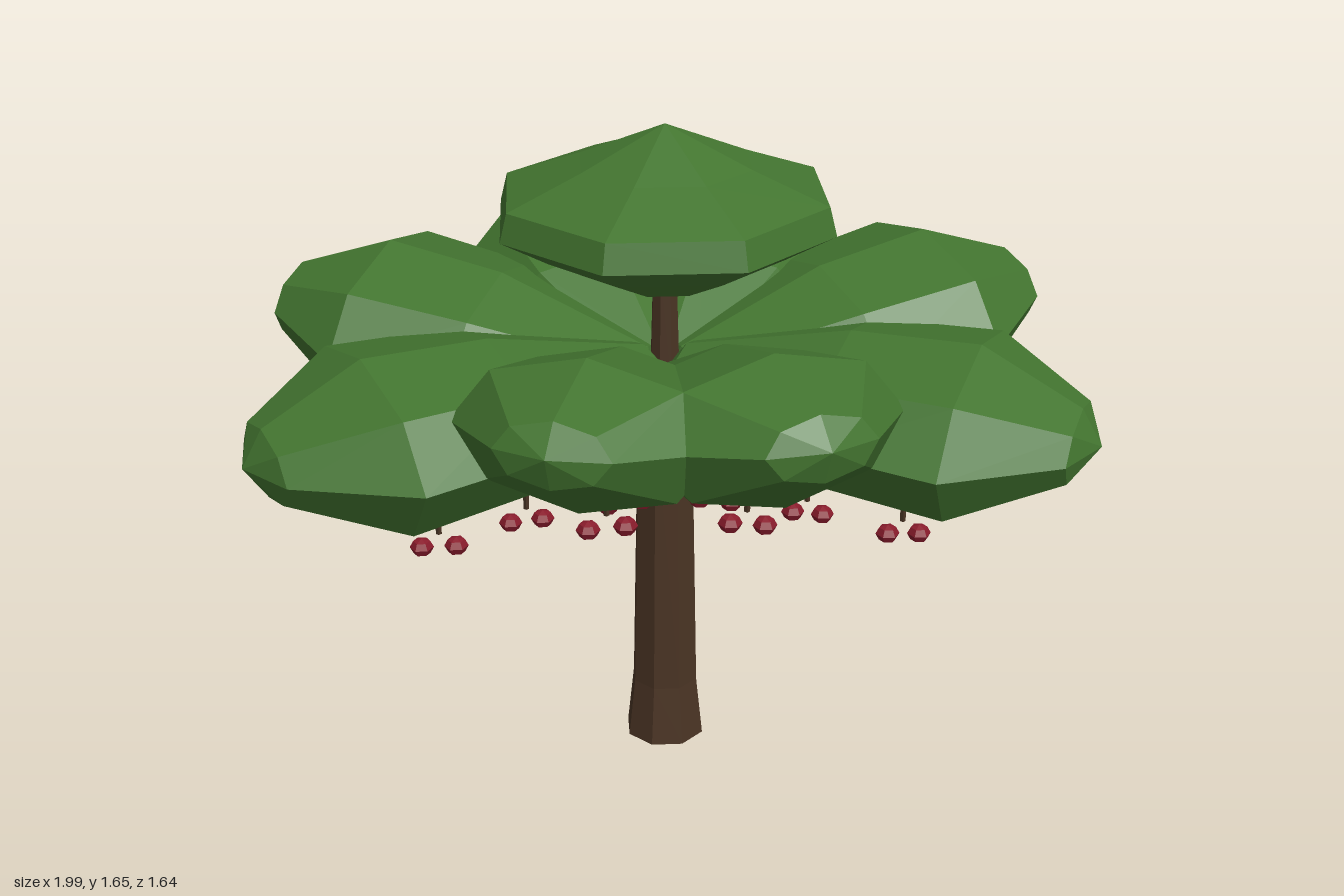
import * as THREE from 'three';

const mat = (color) => new THREE.MeshStandardMaterial({ color, flatShading: true });

export function createModel() {
  const bark = mat(0x4a3424), leaf = mat(0x437530), berry = mat(0x8a1c2c);
  const tree = new THREE.Group();
  tree.name = 'fruitTree';
  const axisZ = -0.02;

  const add = (name, geometry, material, x = 0, y = 0, z = 0) => {
    const mesh = new THREE.Mesh(geometry, material);
    mesh.name = name;
    mesh.position.set(x, y, z);
    tree.add(mesh);
    return mesh;
  };

  const lathe = (points) => new THREE.LatheGeometry(points.map(([r, y]) => new THREE.Vector2(r, y)), 8);

  // Eight-sided lathe turned so flat sides face the axes; radii are measured to the flats
  const octagon = (points) => {
    const c = 1 / Math.cos(Math.PI / 8);
    return lathe(points).rotateY(Math.PI / 8).scale(c, 1, c);
  };

  // Tapered rod between two points
  const rod = (name, from, to, r0, r1, sides) => {
    const dir = to.clone().sub(from);
    const mid = from.clone().add(to).multiplyScalar(0.5);
    const mesh = add(name, new THREE.CylinderGeometry(r1, r0, dir.length(), sides), bark, mid.x, mid.y, mid.z);
    mesh.quaternion.setFromUnitVectors(new THREE.Vector3(0, 1, 0), dir.normalize());
  };

  // Flared trunk, with a thin leader carrying the crown
  add('trunk', octagon([[0, 0], [0.096, 0], [0.08, 0.16], [0.066, 0.92], [0.036, 0.98], [0.028, 1.28], [0, 1.28]]),
    bark, 0, 0, axisZ);
  add('crown', octagon([[0, 1.22], [0.12, 1.265], [0.28, 1.35], [0.392, 1.42], [0.375, 1.49], [0.2, 1.56], [0, 1.652]]),
    leaf, 0, 0, axisZ);

  // Foliage lobe: a lathe lying along +z, narrow at the trunk and blunt at the outer tip
  const lobeProfile = [[0, 0], [0.36, 0.05], [0.9, 0.43], [1, 0.72], [0.43, 0.95], [0, 1]];

  // Half width, half height, length, height at the trunk, heading from +z and upward tilt in degrees
  const lobes = [
    { name: 'frontLobe', size: [0.315, 0.175, 0.9], y: 0.99, yaw: 20, tilt: 12 },
    { name: 'sideFrontLobe', size: [0.355, 0.2, 1.08], y: 1.035, yaw: 65.5, tilt: -2 },
    { name: 'sideBackLobe', size: [0.345, 0.2, 1.04], y: 1.005, yaw: 111, tilt: 6.5 },
    { name: 'backLobe', size: [0.31, 0.175, 0.88], y: 0.995, yaw: 160, tilt: 14 },
  ];

  // Fruit pairs: outer lower fruit, then inner upper fruit
  const pairs = [
    [[0.60, 0.70, 0.26], [0.515, 0.725, 0.305]],
    [[0.39, 0.662, 0.07], [0.31, 0.692, 0.11]],
    [[0.345, 0.715, -0.19], [0.26, 0.745, -0.15]],
    [[0.545, 0.78, -0.165], [0.455, 0.81, -0.125]],
    [[0.15, 0.765, -0.305], [0.07, 0.795, -0.265]],
    [[0.15, 0.755, 0.175], [0.07, 0.787, 0.215]],
    [[0.205, 0.82, 0.43], [0.12, 0.848, 0.47]],
    [[0.205, 0.835, -0.345], [0.12, 0.862, -0.305]],
  ];
  const fruitShape = new THREE.SphereGeometry(0.029, 6, 4).scale(1, 0.78, 1);

  for (const [side, s] of [['left', 1], ['right', -1]]) {
    for (const { name, size, y, yaw, tilt } of lobes) {
      const mesh = add(`${side}-${name}`, lathe(lobeProfile).rotateX(Math.PI / 2).scale(...size), leaf, 0, y, axisZ);
      mesh.rotation.set(-THREE.MathUtils.degToRad(tilt), s * THREE.MathUtils.degToRad(yaw), 0, 'YXZ');
      // Branch running from the trunk into the lobe
      const end = new THREE.Vector3(0, 0, size[2] * 0.4).applyEuler(mesh.rotation).add(mesh.position);
      rod(`${side}-${name}-branch`, new THREE.Vector3(0, 0.89, axisZ), end, 0.032, 0.014, 5);
    }
    for (const [a, b] of pairs) {
      // Hanging stem between the two fruits
      const x = s * (a[0] + b[0]) / 2, y = (a[1] + b[1]) / 2 + 0.025, z = (a[2] + b[2]) / 2 - 0.015;
      rod(`${side}-stem`, new THREE.Vector3(x, y, z), new THREE.Vector3(x, y + 0.2, z), 0.007, 0.007, 4);
      for (const f of [a, b]) add(`${side}-fruit`, fruitShape, berry, s * f[0], f[1], f[2]);
    }
  }
  return tree;
}
